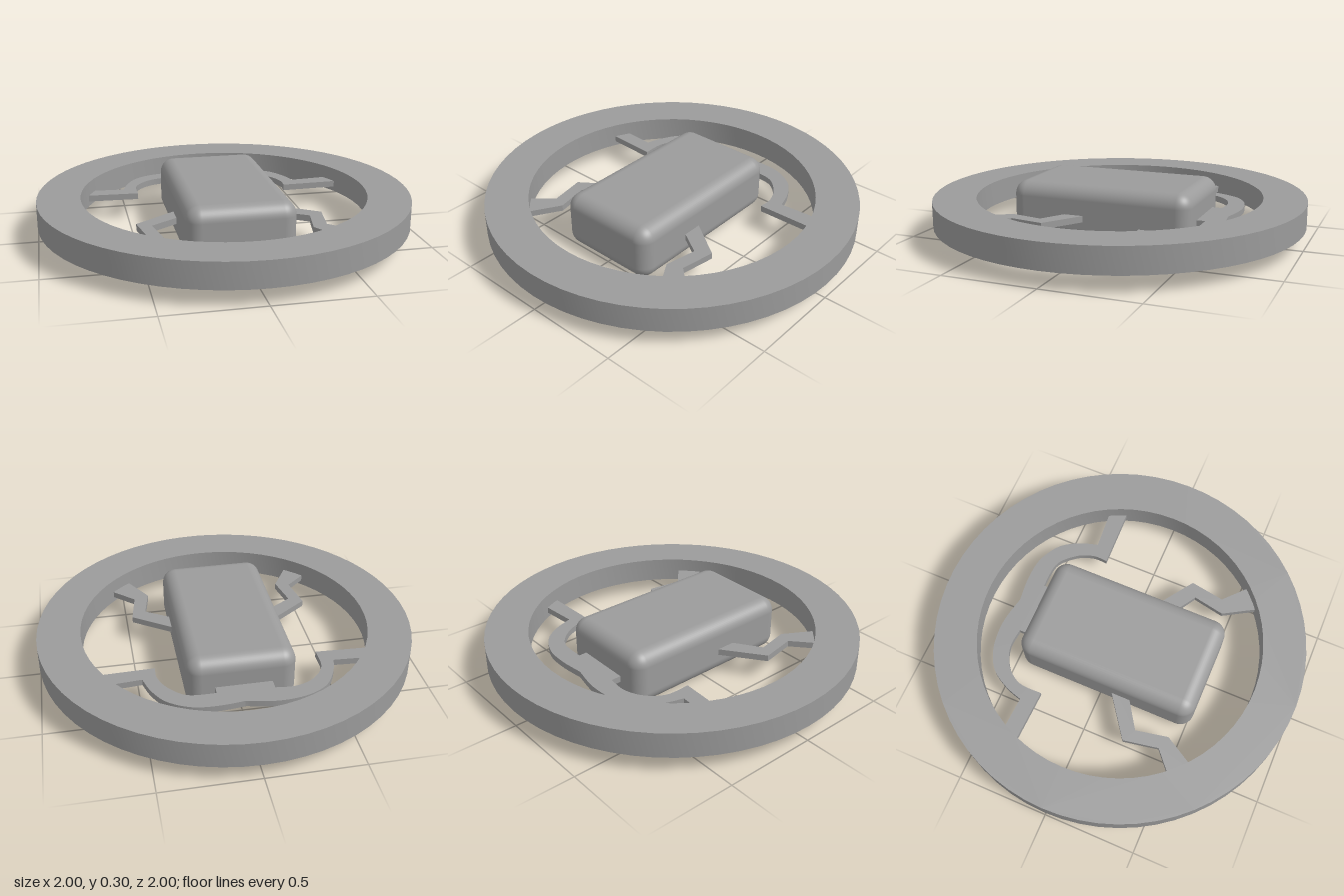
import * as THREE from 'three';
import { toCreasedNormals } from 'three/addons/utils/BufferGeometryUtils.js';
import { RoundedBoxGeometry } from 'three/addons/geometries/RoundedBoxGeometry.js';

const material = new THREE.MeshStandardMaterial({ color: 0x9b9b9b });

// Flat plate: a plan outline drawn in (x, -z), raised from bottom to top
function plate(name, shape, bottom, top, curveSegments = 10) {
  const geometry = new THREE.ExtrudeGeometry(shape, { depth: top - bottom, bevelEnabled: false, curveSegments });
  geometry.rotateX(-Math.PI / 2).translate(0, bottom, 0);
  const mesh = new THREE.Mesh(toCreasedNormals(geometry, 0.5), material);
  mesh.name = name;
  return mesh;
}

const outline = (points) => new THREE.Shape(points.map(([x, z]) => new THREE.Vector2(x, -z)));
const spline = (shape, points) => shape.splineThru(points.map(([x, z]) => new THREE.Vector2(x, -z)));

export function createModel() {
  const group = new THREE.Group();
  const armBottom = 0.112, armTop = 0.146;

  // Outer ring
  const ring = new THREE.Shape().absarc(0, 0, 1, 0, Math.PI * 2);
  ring.holes.push(new THREE.Path().absarc(0, 0, 0.77, 0, Math.PI * 2, true));
  group.add(plate('ring', ring, 0.085, 0.22, 32));

  // Rounded central block
  const block = new THREE.Mesh(new RoundedBoxGeometry(0.565, 0.3, 0.995, 6, 0.075), material);
  block.name = 'centreBlock';
  block.position.set(-0.008, 0.15, 0.022);
  group.add(block);

  // Bent front legs from the block to the ring
  group.add(plate('rightFrontLeg', outline([
    [-0.2, 0.01], [-0.505, 0.23], [-0.47, 0.42], [-0.63, 0.56],
    [-0.52, 0.66], [-0.395, 0.445], [-0.43, 0.27], [-0.2, 0.12],
  ]), armBottom, armTop));
  group.add(plate('leftFrontLeg', outline([
    [0.2, 0.05], [0.477, 0.24], [0.447, 0.425], [0.61, 0.575],
    [0.5, 0.68], [0.367, 0.455], [0.4, 0.285], [0.2, 0.16],
  ]), armBottom, armTop));

  // Curved back bracket with an arm on either side
  const bracket = new THREE.Shape();
  bracket.moveTo(-0.77, 0.287).lineTo(-0.74, 0.373).lineTo(-0.513, 0.36);
  spline(bracket, [[-0.48, -0.46], [-0.415, -0.56], [-0.3, -0.62], [-0.15, -0.635], [0.005, -0.607]]);
  spline(bracket, [[0.14, -0.62], [0.27, -0.608], [0.385, -0.545], [0.45, -0.45], [0.485, -0.345]]);
  bracket.lineTo(0.74, 0.365).lineTo(0.77, 0.27).lineTo(0.41, 0.26);
  spline(bracket, [[0.41, -0.34], [0.37, -0.43], [0.28, -0.51], [0.135, -0.52]]);
  bracket.lineTo(0.135, 0.4).lineTo(-0.16, 0.4).lineTo(-0.16, 0.53);
  spline(bracket, [[-0.27, -0.535], [-0.37, -0.49], [-0.435, -0.4], [-0.44, -0.272]]);
  bracket.closePath();
  group.add(plate('backBracket', bracket, armBottom, armTop));

  return group;
}
